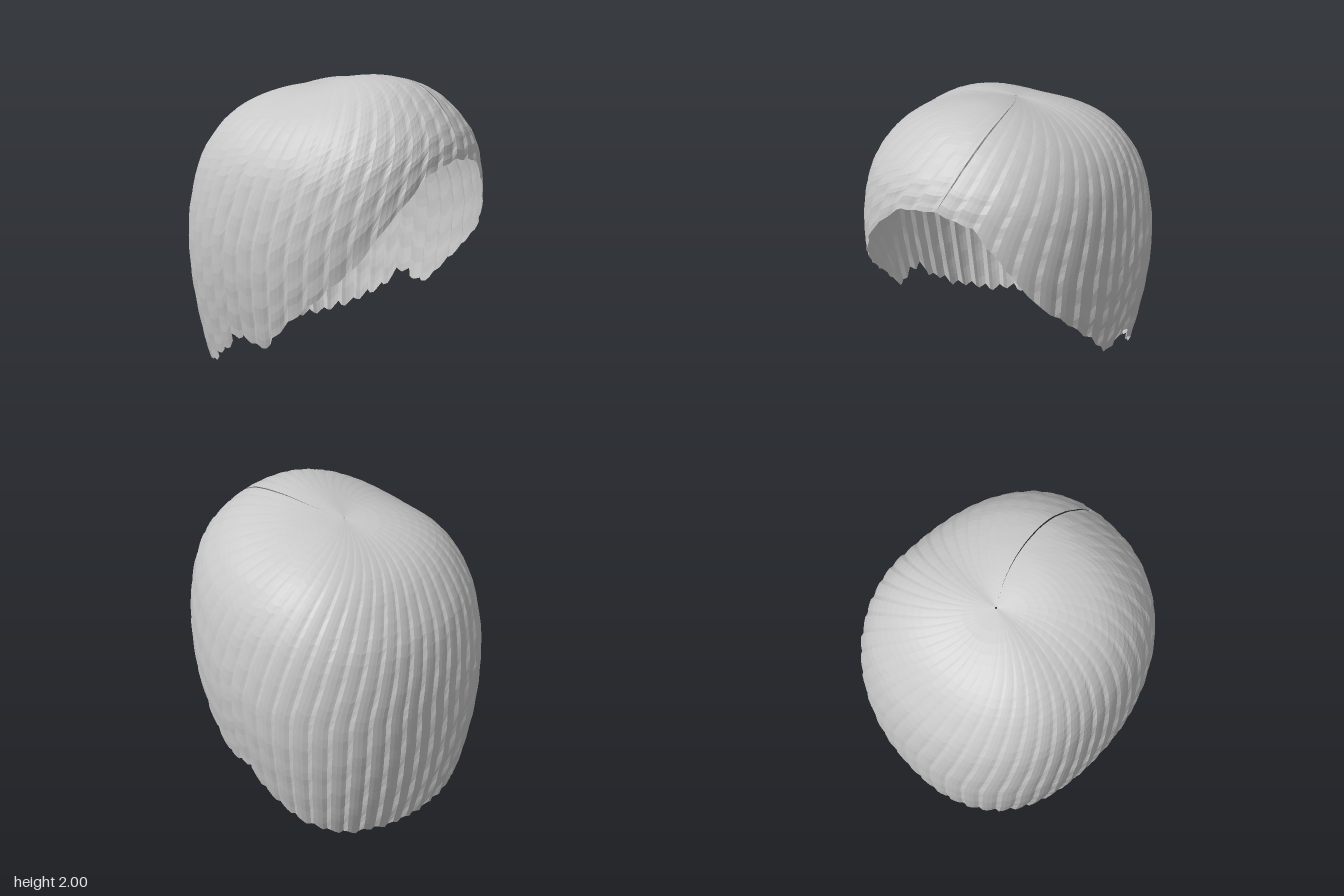
import * as THREE from 'three';

// Profiles from the crown down: [distance from crown axis, height]
const curve = (pts) => new THREE.SplineCurve(pts.map(([d, y]) => new THREE.Vector2(d, y)));
const front = curve([[0, 1.92], [0.2, 1.975], [0.4, 2.0], [0.62, 1.965], [0.8, 1.855], [0.94, 1.7], [1.0, 1.54],
  [1.025, 1.3], [1.01, 1.0], [0.99, 0.8], [0.97, 0.6], [0.95, 0.4], [0.9, 0.2], [0.85, -0.05]]);
const side = curve([[0, 1.92], [0.2, 1.915], [0.4, 1.87], [0.58, 1.78], [0.71, 1.65], [0.8, 1.47], [0.85, 1.24],
  [0.872, 1.02], [0.865, 0.8], [0.84, 0.6], [0.805, 0.4], [0.765, 0.2], [0.72, 0], [0.66, -0.2]]);
const back = curve([[0, 1.92], [0.2, 1.875], [0.37, 1.805], [0.5, 1.72], [0.61, 1.6], [0.72, 1.42], [0.785, 1.2],
  [0.815, 1.0], [0.825, 0.8], [0.82, 0.6], [0.8, 0.4], [0.765, 0.2], [0.71, 0], [0.65, -0.2]]);

// Hem height by angle from the front, the same on both sides
const hem = [[0, 1.57], [0.25, 1.52], [0.455, 1.3], [0.675, 1.0], [0.89, 0.8], [1.1, 0.61], [1.26, 0.44],
  [1.34, 0.4], [1.5, 0.43], [1.63, 0.43], [1.72, 0.32], [1.98, 0.17], [2.32, 0.06], [Math.PI, 0.03]];
const CROWN_Z = -0.09;
const LOCKS = 46;
const ROWS = 36;
const RELIEF = [0.009, 0.007, 0.001, -0.011]; // one overlapping lock: raised edge falling to a groove

function hemHeight(angle) {
  const a = Math.min(angle, 2 * Math.PI - angle);
  let i = 1;
  while (i < hem.length - 1 && hem[i][0] < a) i++;
  const [a0, y0] = hem[i - 1];
  const [a1, y1] = hem[i];
  return THREE.MathUtils.lerp(y0, y1, THREE.MathUtils.clamp((a - a0) / (a1 - a0), 0, 1));
}

// Point on the dome: rounded-square blend of the three profiles
function domePoint(angle, u, relief) {
  const c = Math.cos(angle);
  const s = Math.sin(angle);
  const p = (c > 0 ? front : back).getPoint(u);
  const q = side.getPoint(u);
  const n = 2.3;
  const d = Math.pow(Math.pow(Math.abs(c) / p.x, n) + Math.pow(Math.abs(s) / q.x, n), -1 / n) + relief;
  return new THREE.Vector3(d * s, p.y * c * c + q.y * s * s + relief * 0.3, CROWN_Z + d * c);
}

// Profile parameter at which a lock reaches the hem
function hemParameter(angle, y) {
  let lo = 0.2;
  let hi = 1;
  for (let i = 0; i < 24; i++) {
    const mid = (lo + hi) / 2;
    if (domePoint(angle, mid, 0).y > y) lo = mid;
    else hi = mid;
  }
  return lo;
}

function hairGeometry() {
  const columns = LOCKS * RELIEF.length;
  const positions = [];
  const index = [];
  for (let i = 0; i <= columns; i++) {
    const angle = (i / columns) * 2 * Math.PI;
    const k = i % RELIEF.length;
    const lock = Math.floor(i / RELIEF.length);
    // Pointed lock ends, a little uneven
    const tip = [0.016, -0.004, -0.02, -0.002][k] + 0.008 * Math.sin(lock * 2.4);
    const frontness = Math.max(0, Math.cos(angle));
    const end = hemParameter(angle, hemHeight(angle) + tip * (1 - 0.8 * frontness));
    for (let j = 0; j <= ROWS; j++) {
      const t = j / ROWS;
      const u = 0.004 + (end - 0.004) * t;
      // Swirl at the crown, and a narrow open parting between first and last lock
      const swirl = 0.53 * Math.pow(Math.max(0, 1 - u / 0.55), 1.25) + 0.08 * (1 - t);
      const parting = i === columns ? -0.016 * Math.sin(Math.PI * t) : 0;
      // Grooves deepen towards the hem, over a faint choppy surface
      const groove = RELIEF[k] * Math.pow(t, 1.2) * (1 - 0.6 * frontness);
      const chop = 0.0025 * t * Math.sin(lock * 1.9 + j * 1.7);
      const p = domePoint(angle + swirl + parting, u, groove + chop);
      positions.push(p.x, p.y, p.z);
      if (i < columns && j < ROWS) {
        const v = i * (ROWS + 1) + j;
        const w = v + ROWS + 1;
        index.push(v, v + 1, w, w, v + 1, w + 1);
      }
    }
  }
  const g = new THREE.BufferGeometry();
  g.setAttribute('position', new THREE.Float32BufferAttribute(positions, 3));
  g.setIndex(index);
  const flat = g.toNonIndexed();
  flat.computeVertexNormals();
  return flat;
}

export function createModel() {
  const group = new THREE.Group();
  group.name = 'hairpiece';
  const hairGrey = new THREE.MeshStandardMaterial({ color: 0xc8c8c8, side: THREE.DoubleSide, flatShading: true });
  hairGrey.name = 'hair grey';
  const geometry = hairGeometry();
  // Stand on the ground, centred
  geometry.computeBoundingBox();
  const box = geometry.boundingBox;
  geometry.translate(-(box.min.x + box.max.x) / 2, -box.min.y, -(box.min.z + box.max.z) / 2);
  const hair = new THREE.Mesh(geometry, hairGrey);
  hair.name = 'hair';
  group.add(hair);
  return group;
}
